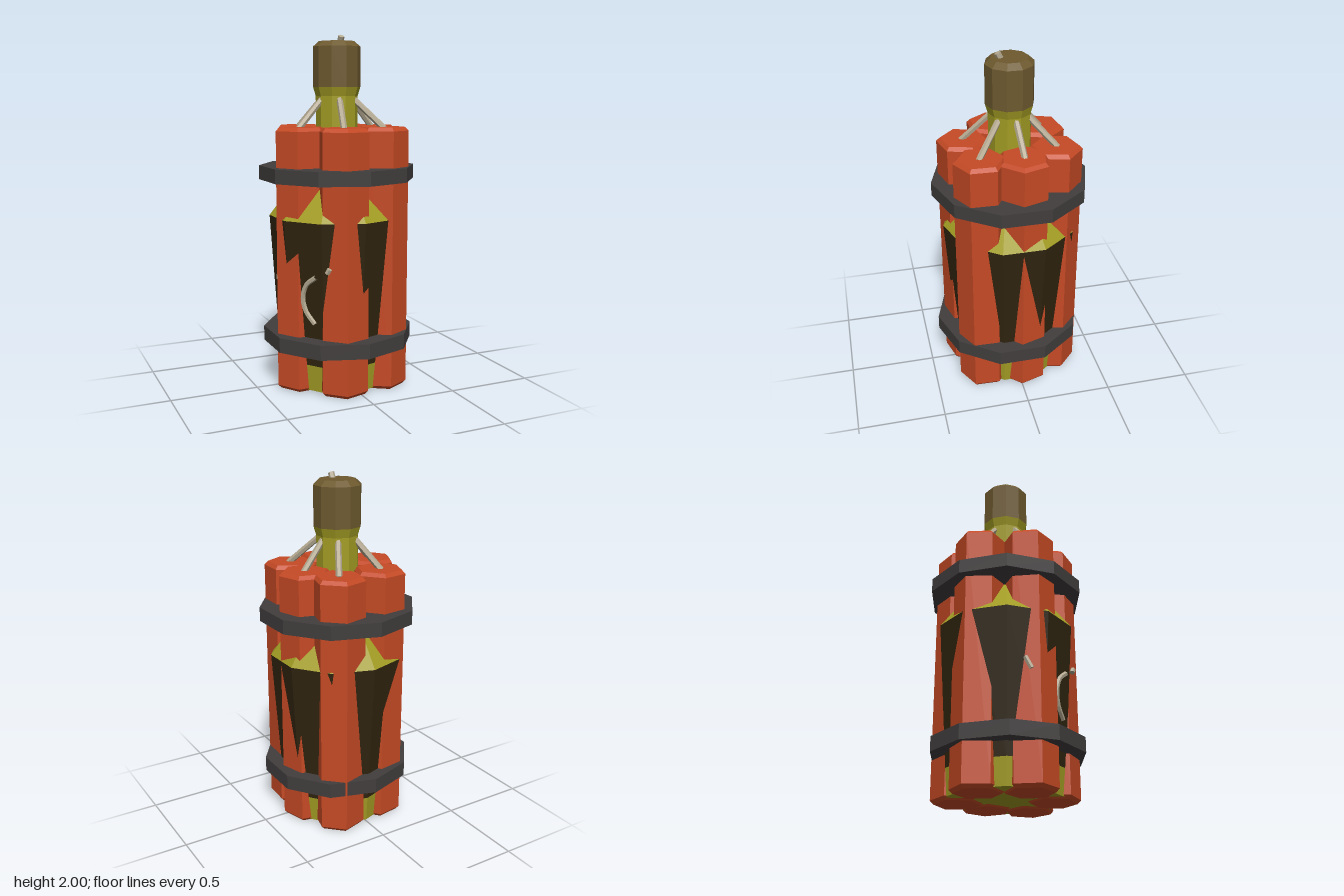
import * as THREE from 'three';

const mat = (name, color) => {
  const m = new THREE.MeshStandardMaterial({ color, flatShading: true });
  m.name = name;
  return m;
};

export function createModel() {
  const group = new THREE.Group();
  const orange = mat('stick orange', 0xc64a25);
  const bandGrey = mat('band grey', 0x423e3e);
  const glass = mat('glass yellow', 0xa39d24);
  const liquid = mat('dark liquid', 0x30240f);
  const cork = mat('stopper brown', 0x6e5a2f);
  const rope = mat('fuse beige', 0xb5aa92);

  const add = (name, geometry, material) => {
    const mesh = new THREE.Mesh(geometry, material);
    mesh.name = name;
    group.add(mesh);
    return mesh;
  };
  // Faceted turned part from [radius, y] pairs, listed bottom to top
  const turned = (name, profile, sides, material, start = 0) =>
    add(name, new THREE.LatheGeometry(
      profile.map(([r, y]) => new THREE.Vector2(r, y)), sides, start), material);
  // Straight six-sided rod between two points
  const rod = (name, a, b, radius) => {
    const from = new THREE.Vector3(...a), to = new THREE.Vector3(...b);
    const dir = to.clone().sub(from);
    const mesh = add(name, new THREE.CylinderGeometry(radius, radius, dir.length(), 6), rope);
    mesh.position.copy(from).add(to).multiplyScalar(0.5);
    mesh.quaternion.setFromUnitVectors(new THREE.Vector3(0, 1, 0), dir.normalize());
  };

  // Bottle in the middle, widening upwards to its shoulder
  turned('bottleBase', [[0, 0.01], [0.324, 0.01], [0.335, 0.16]], 10, glass);
  turned('bottleLiquid', [[0.335, 0.16], [0.39, 0.98]], 10, liquid);
  turned('bottleNeck', [[0.39, 0.98], [0.12, 1.34], [0.12, 1.66], [0.135, 1.71]], 10, glass);
  turned('stopper', [[0.135, 1.71], [0.135, 1.935], [0.102, 1.965], [0, 1.965]], 10, cork);

  // Six bevelled hexagonal sticks around it: x, z, corner angle in degrees
  const sticks = [
    [-0.148, -0.202, -9], [0.13, -0.228, -16], [0.226, -0.03, 13],
    [0.19, 0.203, 32], [-0.068, 0.25, -15], [-0.245, 0.052, -3],
  ];
  for (const [x, z, angle] of sticks) {
    const stick = turned('stick',
      [[0, 0], [0.128, 0], [0.147, 0.02], [0.147, 1.47], [0.128, 1.49], [0, 1.49]],
      6, orange, THREE.MathUtils.degToRad(30 - angle));
    stick.position.set(x, 0, z);

    // Fuse leaning from the stick to the neck
    const k = 0.1 / Math.hypot(x, z);
    rod('fuse', [x * 1.04, 1.48, z * 1.04], [x * k, 1.645, z * k], 0.018);
  }

  // Straps
  const band = (name, radius, y, height, z) =>
    add(name, new THREE.CylinderGeometry(radius, radius, height, 10), bandGrey)
      .position.set(0, y, z);
  band('upperBand', 0.447, 1.228, 0.08, 0);
  band('lowerBand', 0.434, 0.282, 0.085, 0.013);

  // Short wick on the stopper
  rod('topWick', [0, 1.93, 0.035], [0, 1.99, 0.065], 0.018);

  // Curled wick showing through the bottle wall
  const curl = new THREE.CatmullRomCurve3([
    [-0.24, 0.68, 0.266], [-0.275, 0.63, 0.212], [-0.288, 0.56, 0.19],
    [-0.275, 0.48, 0.2], [-0.238, 0.41, 0.242],
  ].map((p) => new THREE.Vector3(...p)));
  add('curledWick', new THREE.TubeGeometry(curl, 12, 0.015, 6), rope);
  rod('wickEnd', [-0.19, 0.735, 0.335], [-0.2, 0.71, 0.325], 0.015);
  rod('wickLoop', [-0.35, 0.7, -0.01], [-0.368, 0.63, 0.02], 0.015);

  return group;
}
